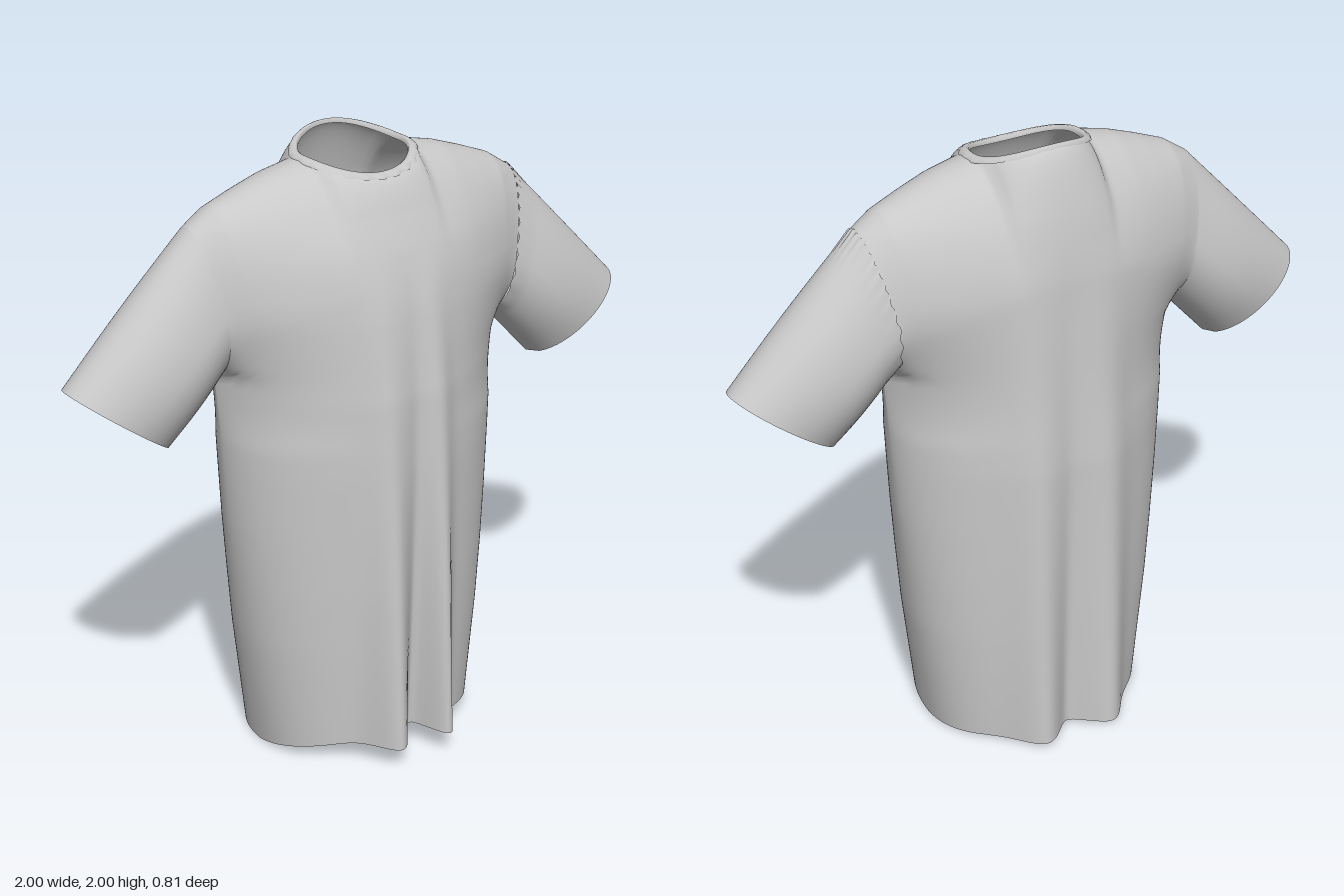
import * as THREE from 'three';
import { mergeVertices } from 'three/addons/utils/BufferGeometryUtils.js';

const COLS = 120, ROWS = 90, SLEEVE_ROWS = 24;
const ZC = -0.03;            // z of the side and shoulder seams
const NECK_X = 0.18, NECK_Z = 0.155, NECK_Y = 1.947;
const NECK_DROP = 0.042, NECK_RISE = 0.045;
const ARMHOLE = { front: 0.145, back: 0.165 };

// Piecewise linear lookup in [[key, value], ...]
function look(table, k) {
  if (k <= table[0][0]) return table[0][1];
  for (let i = 1; i < table.length; i++) {
    const [k0, v0] = table[i - 1], [k1, v1] = table[i];
    if (k <= k1) return v0 + (v1 - v0) * (k - k0) / (k1 - k0);
  }
  return table[table.length - 1][1];
}
const bump = (x, at, w) => Math.exp(-(((x - at) / w) ** 2));

const WIDTH = [[0, 0.372], [0.4, 0.425], [0.8, 0.463], [1.2, 0.493], [1.33, 0.503], [1.55, 0.53], [1.8, 0.58]];
const SHOULDER = [[0.18, NECK_Y], [0.3, 1.922], [0.4, 1.889], [0.5, 1.852], [0.58, 1.8]];
const CURVE = [[0, 0.43], [0.6, 0.5], [1.1, 0.6], [1.35, 0.9], [1.6, 1.25]];
const DEPTH = {
  front: [[0, 0.33], [0.6, 0.345], [1, 0.35], [1.25, 0.345], [1.4, 0.33], [1.5, 0.318], [1.7, 0.285], [1.8, 0.262], [2, 0.235]],
  back: [[0, 0.305], [1, 0.312], [1.4, 0.29], [1.6, 0.277], [1.8, 0.255], [2, 0.23]],
};
const FOLD = {
  front: [[0, 0.122], [1, 0.035], [1.7, 0]],
  back: [[0, 0.085], [1, 0.03], [1.7, 0]],
};

// Depth added by the hanging folds
function folds(side, x, y) {
  const a = look(FOLD[side], y);
  return side === 'front'
    ? a * (bump(x, 0.09, 0.052) + bump(x, -0.1, 0.065) - 0.35 * bump(x, 0.015, 0.035))
    : a * (bump(x, 0.145, 0.08) + bump(x, -0.12, 0.08) - 0.25 * bump(x, 0.02, 0.04));
}

// Point of a body panel: X runs -1..1 across, v runs 0..1 from hem to shoulder
function bodyPoint(side, X, v) {
  const dir = side === 'front' ? 1 : -1;
  const aX = Math.abs(X), xTop = aX * 0.58;
  const neck2 = Math.max(0, 1 - (xTop / NECK_X) ** 2);
  const yTop = look(SHOULDER, xTop) + neck2 * (dir > 0 ? -NECK_DROP : NECK_RISE);
  const yHem = (dir > 0 ? 0.085 : 0.015) * Math.sqrt(1 - X * X);
  const y = yTop - (yTop - yHem) * (1 - v) ** 2;
  const x = look(WIDTH, y) * X;
  // armhole half depth at the panel edge (zero below the armpit),
  // fading smoothly into the depth of the chest beside it
  const k = Math.min(1, Math.max(0, (1.55 - y) / 0.22));
  const edge = ARMHOLE[side] * Math.sqrt(1 - k * k);
  const chest = ARMHOLE[side] * THREE.MathUtils.smoothstep(y, 1.1, 1.6);
  const base = chest + (edge - chest) * aX ** 14;
  const section = Math.pow(1 - X * X, look(CURVE, y));
  const full = base + (look(DEPTH[side], y) - base + folds(side, x, y)) * section;
  // round over towards the shoulder seam and the neck opening
  const t = Math.min(1, Math.max(0, (yTop - y) / 0.38));
  const g = Math.sqrt(1 - (1 - t) ** 2);
  const top = NECK_Z * Math.sqrt(neck2);
  return new THREE.Vector3(x, y, ZC + dir * (top + (full - top) * g));
}

// Adds a grid of points as triangles
function addGrid(out, nu, nv, point, flip) {
  const base = out.pos.length / 3;
  for (let j = 0; j <= nv; j++)
    for (let i = 0; i <= nu; i++) out.pos.push(...point(i, j).toArray());
  for (let j = 0; j < nv; j++)
    for (let i = 0; i < nu; i++) {
      const a = base + j * (nu + 1) + i, b = a + 1, d = a + nu + 1, c = d + 1;
      if (flip) out.idx.push(a, c, b, a, d, c);
      else out.idx.push(a, b, c, a, c, d);
    }
}

function toMesh(out, name, material) {
  let geo = new THREE.BufferGeometry();
  geo.setAttribute('position', new THREE.Float32BufferAttribute(out.pos, 3));
  geo.setIndex(out.idx);
  geo = mergeVertices(geo, 1e-5);
  geo.computeVertexNormals();
  const mesh = new THREE.Mesh(geo, material);
  mesh.name = name;
  return mesh;
}

// Sleeve lofted from the body's armhole edge to a tilted oval cuff
function addSleeve(out, sign, loose) {
  const ring = [];
  let start = 0;
  while (bodyPoint('front', sign, (start + 1) / ROWS).y < 1.33) start++;
  for (let r = start; r <= ROWS; r++) ring.push([bodyPoint('front', sign, r / ROWS), 1]);
  for (let r = ROWS - 1; r >= start; r--) ring.push([bodyPoint('back', sign, r / ROWS), -1]);
  const low = ring[0][0].y, mid = (1.8 + low) / 2, half = (1.8 - low) / 2;
  addGrid(out, SLEEVE_ROWS, ring.length - 1, (i, j) => {
    const [p, dir] = ring[j];
    const t = i / SLEEVE_ROWS;
    const c = THREE.MathUtils.clamp((p.y - mid) / half, -1, 1);
    const s = dir * Math.sqrt(1 - c * c);
    const cuff = new THREE.Vector3(sign * (0.842 + 0.158 * c), 1.257 + 0.118 * c, -0.027 + 0.133 * s);
    const q = p.clone().lerp(cuff, t);
    q.z += 0.018 * s * Math.sin(Math.PI * t);
    if (loose) {
      // raised, uneven seam edge
      const lift = Math.max(0, 1 - t * 6);
      q.z += 0.006 * s * lift;
      q.y += 0.005 * c * lift;
      q.x += sign * lift * (0.005 * Math.sin(j * 1.7) - 0.004);
    }
    return q;
  }, sign < 0);
}

export function createModel() {
  const group = new THREE.Group();
  group.name = 'shirt';
  const cloth = new THREE.MeshStandardMaterial({ color: 0xc8c8c8, side: THREE.DoubleSide });
  cloth.name = 'light grey cloth';

  // front and back panels, with the right sleeve blended in smoothly
  const body = { pos: [], idx: [] };
  for (const side of ['front', 'back'])
    addGrid(body, COLS, ROWS, (i, j) => {
      const X = i === 0 ? -1 : i === COLS ? 1 : Math.sin((i / COLS - 0.5) * Math.PI);
      return bodyPoint(side, X, j / ROWS);
    }, side === 'back');
  addSleeve(body, -1, false);
  group.add(toMesh(body, 'bodyAndRightSleeve', cloth));

  // left sleeve, sewn over the armhole
  const sleeve = { pos: [], idx: [] };
  addSleeve(sleeve, 1, true);
  group.add(toMesh(sleeve, 'leftSleeve', cloth));

  // neckband with an uneven outer edge: [outward, up]
  const band = [[0.026, -0.009], [0.022, -0.001], [0.012, 0.005], [0, 0.007], [-0.006, 0.002], [-0.007, -0.008]];
  const collar = { pos: [], idx: [] };
  const N = 120;
  addGrid(collar, N, band.length - 1, (i, j) => {
    const a = (i % N) / N * Math.PI * 2, s = Math.sin(a);
    const [o, up] = band[j];
    const r = o + (j < 2 ? 0.005 * Math.sin(a * 24) * Math.max(0.2, s) : 0);
    return new THREE.Vector3(
      (NECK_X + r) * Math.cos(a),
      NECK_Y + s * s * (s > 0 ? -NECK_DROP : NECK_RISE) + up,
      ZC + (NECK_Z + (s < 0 ? 0.5 : 1) * r) * s);
  }, true);
  group.add(toMesh(collar, 'neckband', cloth));

  return group;
}
